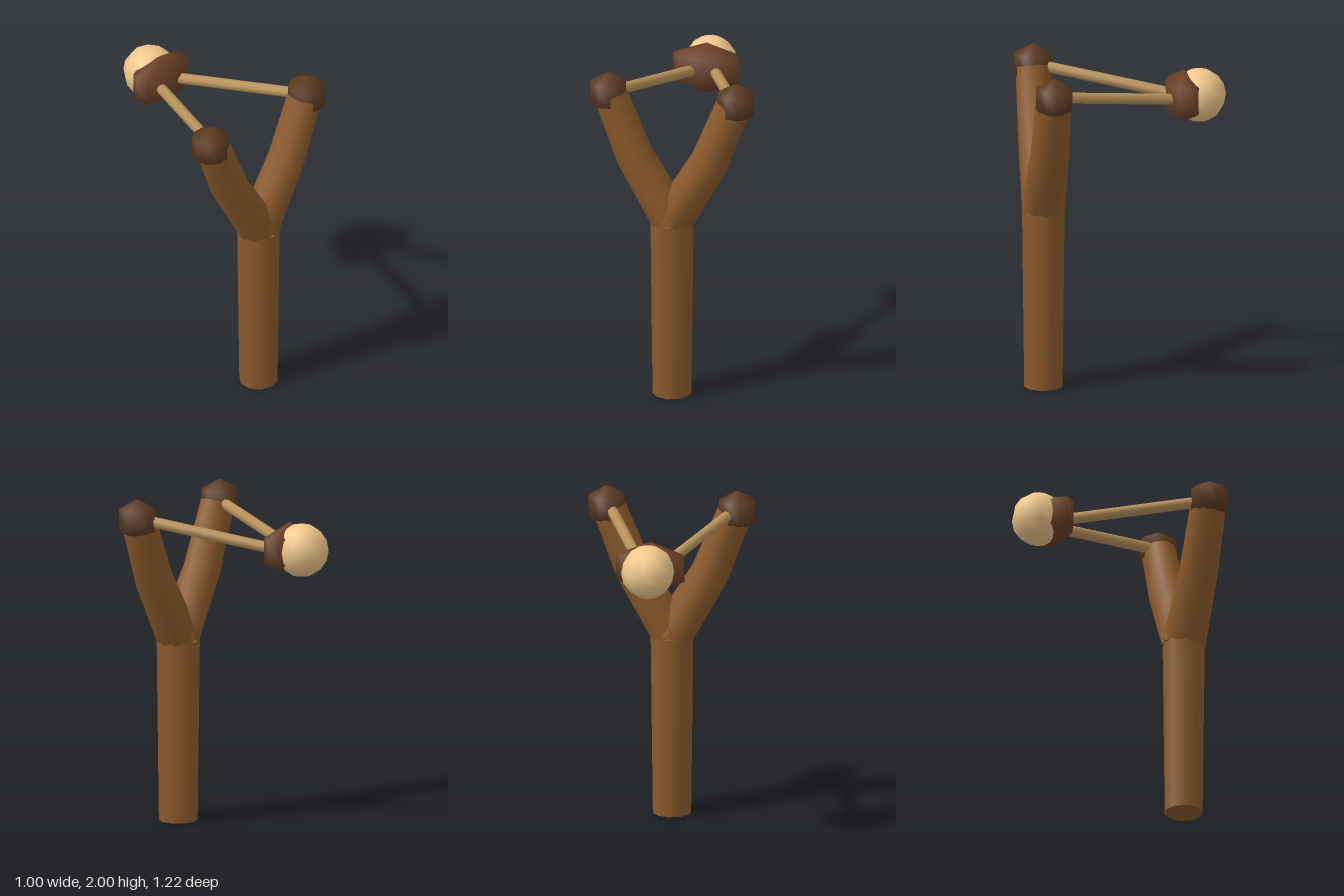
import * as THREE from 'three';

const SIDES = 10;
const mat = (color) => new THREE.MeshStandardMaterial({ color });
const FORK_Z = 0.483;

function mesh(name, geometry, material, x = 0, y = 0, z = 0) {
  const m = new THREE.Mesh(geometry, material);
  m.name = name;
  m.position.set(x, y, z);
  return m;
}

// Bent limb lofted through rings [x, y, axis angle from vertical, radius]
function limbGeometry(rings, side) {
  const pos = [], index = [];
  for (const [x, y, tilt, r] of rings) {
    for (let i = 0; i < SIDES; i++) {
      const a = (i / SIDES) * Math.PI * 2;
      const c = Math.cos(a) * r;
      pos.push(side * (x + c * Math.cos(tilt)), y - c * Math.sin(tilt), Math.sin(a) * r);
    }
  }
  for (let k = 0; k < rings.length - 1; k++) {
    for (let i = 0; i < SIDES; i++) {
      const a = k * SIDES + i, b = k * SIDES + ((i + 1) % SIDES);
      const c = a + SIDES, d = b + SIDES;
      if (side > 0) index.push(a, c, b, b, c, d);
      else index.push(a, b, c, b, d, c);
    }
  }
  const g = new THREE.BufferGeometry();
  g.setAttribute('position', new THREE.Float32BufferAttribute(pos, 3));
  g.setIndex(index);
  g.computeVertexNormals();
  return g;
}

// Straight rod between two points
function rod(name, a, b, r, material) {
  const dir = b.clone().sub(a);
  const m = mesh(name, new THREE.CylinderGeometry(r, r, dir.length(), 8), material);
  m.position.copy(a).add(b).multiplyScalar(0.5);
  m.quaternion.setFromUnitVectors(new THREE.Vector3(0, 1, 0), dir.normalize());
  return m;
}

export function createModel() {
  const group = new THREE.Group();
  group.name = 'slingshot';
  const wood = mat(0x8b5a2b), wrap = mat(0x5c3a21), elastic = mat(0xb8925a);
  const leather = mat(0x6b3f26), stone = mat(0xf0c88c);

  // Handle
  group.add(mesh('handle', new THREE.CylinderGeometry(0.128, 0.115, 1.09, SIDES), wood, 0, 0.545, FORK_Z));

  // Fork arms, tip wraps and bands, mirrored
  const rings = [[0, 1.1, 0.23, 0.13], [0.23, 1.49, 0.44, 0.115], [0.375, 1.86, 0.34, 0.105]];
  for (const [label, s] of [['left', 1], ['right', -1]]) {
    group.add(mesh(label + 'Arm', limbGeometry(rings, s), wood, 0, 0, FORK_Z));
    group.add(mesh(label + 'TipWrap', new THREE.SphereGeometry(0.127, SIDES, 3), wrap, s * 0.39, 1.873, FORK_Z));
    group.add(rod(label + 'Band',
      new THREE.Vector3(s * 0.377, 1.877, FORK_Z),
      new THREE.Vector3(s * 0.066, 1.745, -0.3), 0.033, elastic));
  }

  // Pouch: flattened low-poly ball
  const pouch = mesh('pouch', new THREE.SphereGeometry(1, SIDES, 3), leather, 0, 1.747, -0.357);
  pouch.scale.set(0.237, 0.158, 0.117);
  group.add(pouch);

  // Shot held in the pouch
  const shot = mesh('shot', new THREE.SphereGeometry(0.16, SIDES, 8), stone, 0, 1.747, -0.452);
  shot.rotation.y = Math.PI / 2;
  group.add(shot);

  return group;
}
